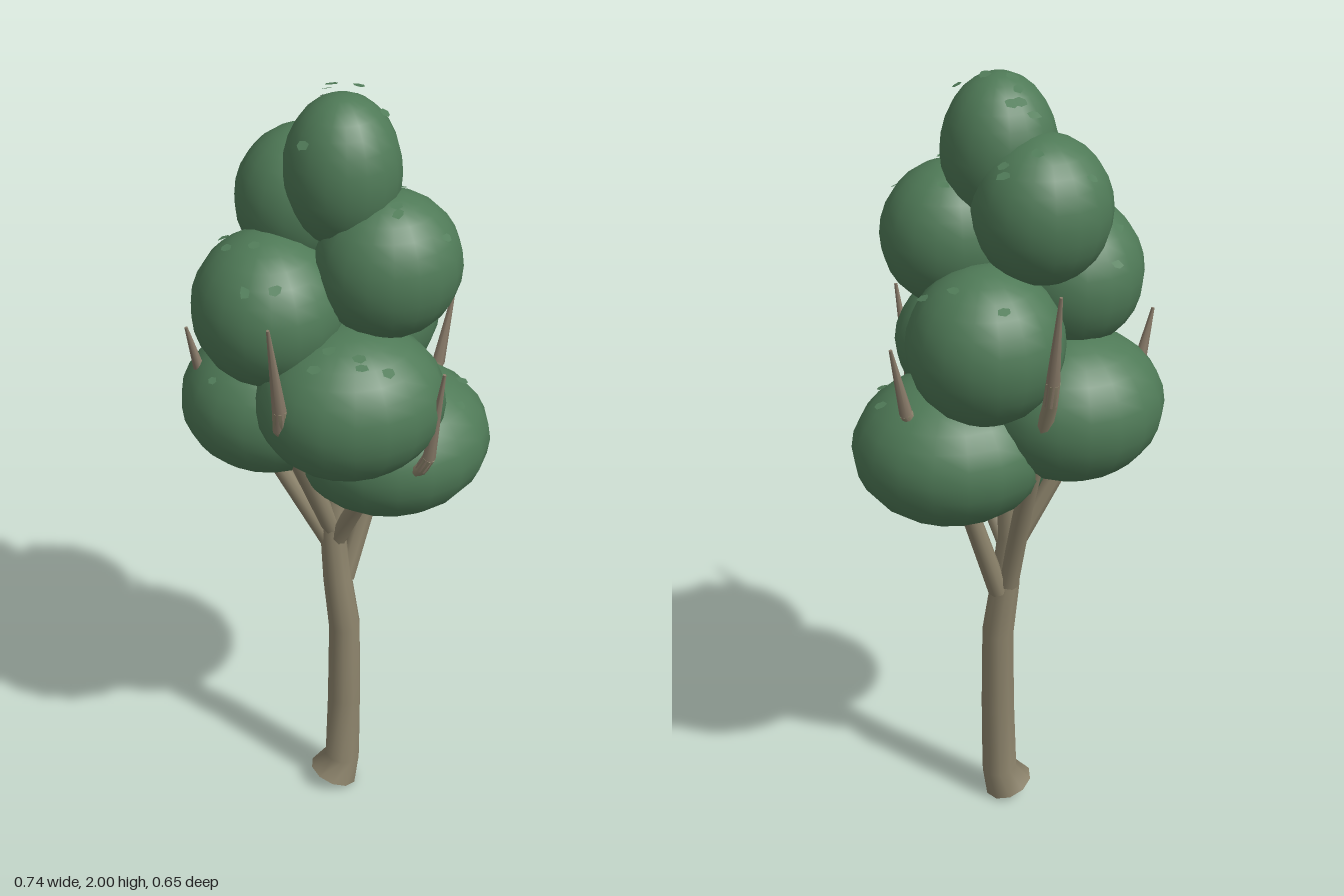
import * as THREE from 'three';

const bark = new THREE.MeshStandardMaterial({ color: 0x8d846c });
bark.name = 'bark';
const twigBark = new THREE.MeshStandardMaterial({ color: 0x8a7c6a });
twigBark.name = 'twig bark';
const foliage = new THREE.MeshStandardMaterial({ color: 0x4f7a57 });
foliage.name = 'foliage green';
const leafGreen = new THREE.MeshStandardMaterial({ color: 0x527d5a, side: THREE.DoubleSide });
leafGreen.name = 'leaf green';

// small seeded random
let seed = 7;
const rand = () => (seed = (seed * 16807) % 2147483647) / 2147483647;

// round limb swept through points [x, y, z, radius], closed at both ends
function limb(points, sides) {
  const p = points.map(([x, y, z]) => new THREE.Vector3(x, y, z));
  const pos = [], idx = [], n = p.length;
  p.forEach((c, i) => {
    const t = p[Math.min(i + 1, n - 1)].clone().sub(p[Math.max(i - 1, 0)]).normalize();
    const u = new THREE.Vector3(0, 0, 1).cross(t).normalize();
    const v = u.clone().cross(t).negate();
    for (let s = 0; s < sides; s++) {
      const a = (s / sides) * Math.PI * 2, r = points[i][3];
      const q = c.clone().addScaledVector(u, Math.cos(a) * r).addScaledVector(v, Math.sin(a) * r);
      pos.push(q.x, q.y, q.z);
      if (i < n - 1) {
        const a0 = i * sides + s, b0 = i * sides + (s + 1) % sides;
        idx.push(a0, b0, b0 + sides, a0, b0 + sides, a0 + sides);
      }
    }
  });
  // end caps with their own vertices, so the rim stays sharp
  for (const [ring, flip] of [[0, true], [n - 1, false]]) {
    const base = pos.length / 3;
    pos.push(...pos.slice(ring * sides * 3, (ring + 1) * sides * 3));
    for (let s = 1; s < sides - 1; s++) {
      idx.push(base, base + (flip ? s + 1 : s), base + (flip ? s : s + 1));
    }
  }
  const g = new THREE.BufferGeometry();
  g.setAttribute('position', new THREE.Float32BufferAttribute(pos, 3));
  g.setIndex(idx);
  g.computeVertexNormals();
  return g;
}

// foliage clumps: centre, radii, and the x, z spots of loose leaves on top
const CLUMPS = [
  { name: 'crownTop', c: [0, 1.82, 0], r: [0.135, 0.18, 0.135], lift: 0.02,
    leaves: [[-0.04, -0.11], [-0.01, -0.1], [-0.015, -0.08], [0.01, -0.1], [-0.01, -0.055], [0.045, -0.025], [0.085, 0.045], [-0.105, 0.06]] },
  { name: 'upperBack', c: [-0.06, 1.71, -0.115], r: [0.163, 0.175, 0.155],
    leaves: [[-0.13, -0.225], [-0.02, -0.18], [0.055, -0.17], [0.05, -0.15]] },
  { name: 'upperFront', c: [0.09, 1.61, 0.067], r: [0.172, 0.175, 0.157],
    leaves: [[0.14, -0.01], [0.09, 0.14], [0.195, 0.16], [0.09, 0.12]] },
  { name: 'middleRight', c: [-0.177, 1.5, 0], r: [0.178, 0.185, 0.185],
    leaves: [[-0.225, -0.165], [-0.255, -0.105], [-0.27, 0], [-0.215, 0.04], [-0.255, 0.125], [-0.19, 0.145]] },
  { name: 'middleBack', c: [0.08, 1.4, -0.12], r: [0.187, 0.19, 0.182],
    leaves: [[0.085, -0.25], [0.17, -0.16], [0.22, -0.095]] },
  { name: 'middleFront', c: [-0.014, 1.3, 0.13], r: [0.224, 0.185, 0.195],
    leaves: [[-0.12, 0.215], [-0.02, 0.225], [-0.02, 0.245], [0.04, 0.255], [-0.08, 0.185]] },
  { name: 'lowerBack', c: [-0.15, 1.2, -0.1], r: [0.222, 0.185, 0.202],
    leaves: [[-0.31, -0.02]] },
  { name: 'lowerLeft', c: [0.123, 1.095, -0.01], r: [0.246, 0.185, 0.23],
    leaves: [[0.265, 0.1], [0.3, 0]] },
];

// limbs running from the trunk through the foliage to a bare tip
const BRANCHES = [
  [[0.015, 0.67, -0.03, 0.026], [0.1, 0.92, -0.07, 0.023], [0.24, 1.2, -0.08, 0.017], [0.265, 1.24, -0.085, 0.016], [0.303, 1.415, -0.1, 0.004]],
  [[-0.01, 0.69, -0.04, 0.026], [-0.02, 0.94, -0.11, 0.024], [-0.02, 1.3, -0.27, 0.018], [-0.02, 1.36, -0.285, 0.017], [-0.02, 1.585, -0.323, 0.004]],
  [[-0.015, 0.77, -0.03, 0.024], [-0.15, 1.03, -0.06, 0.021], [-0.29, 1.24, -0.1, 0.016], [-0.325, 1.3, -0.104, 0.014], [-0.352, 1.415, -0.1, 0.004]],
  [[-0.015, 0.82, -0.025, 0.024], [-0.12, 1.09, 0.04, 0.022], [-0.2, 1.3, 0.21, 0.018], [-0.205, 1.36, 0.225, 0.017], [-0.233, 1.585, 0.253, 0.004]],
  [[-0.01, 0.8, -0.02, 0.024], [0.05, 1.02, 0.08, 0.021], [0.135, 1.14, 0.215, 0.016], [0.147, 1.18, 0.232, 0.016], [0.17, 1.415, 0.258, 0.004]],
];

export function createModel() {
  const tree = new THREE.Group();
  tree.name = 'tree';
  const add = (parent, name, geometry, material) => {
    const m = new THREE.Mesh(geometry, material);
    m.name = name;
    parent.add(m);
    return m;
  };

  // trunk with a flared, tilted foot
  add(tree, 'trunk', limb([
    [-0.025, 0.035, 0, 0.065], [0, 0.095, 0, 0.047], [0.005, 0.3, -0.002, 0.044], [0.008, 0.53, -0.01, 0.041],
    [-0.008, 0.68, -0.02, 0.037], [-0.018, 0.82, -0.028, 0.032], [-0.01, 1.1, -0.03, 0.028], [0, 1.6, 0, 0.015],
  ], 10), bark);

  // branches, with the outer twigs as separate pieces
  BRANCHES.forEach((b, i) => {
    add(tree, 'branch' + (i + 1), limb(b.slice(0, 4), 8), bark);
    add(tree, 'twig' + (i + 1), limb(b.slice(2), 7), twigBark);
  });

  // foliage clumps and their loose leaves
  for (const { name, c, r, leaves, lift = 0.005 } of CLUMPS) {
    const group = new THREE.Group();
    group.name = name;
    tree.add(group);
    const clump = add(group, name + 'Clump', new THREE.SphereGeometry(1, 18, 14), foliage);
    clump.position.set(...c);
    clump.scale.set(...r);
    for (const [x, z] of leaves) {
      const dx = (x - c[0]) / r[0], dz = (z - c[2]) / r[2];
      const h = Math.sqrt(Math.max(0.04, 1 - dx * dx - dz * dz));
      const leaf = add(group, 'leaf', new THREE.CircleGeometry(0.017, 6), leafGreen);
      const p = leaf.geometry.attributes.position;
      for (let i = 1; i < p.count - 1; i++) {
        const k = 0.7 + rand() * 0.5;
        p.setXY(i, p.getX(i) * k * 0.85, p.getY(i) * k);
      }
      p.setXY(p.count - 1, p.getX(1), p.getY(1));
      // lie between level and the slope of the clump
      const normal = new THREE.Vector3(dx / r[0], h / r[1], dz / r[2]).normalize();
      normal.y += 1;
      normal.normalize();
      leaf.position.set(x, c[1] + r[1] * h + lift, z);
      leaf.quaternion.setFromUnitVectors(new THREE.Vector3(0, 0, 1), normal);
      leaf.rotateZ(rand() * 6.28);
    }
  }
  return tree;
}
